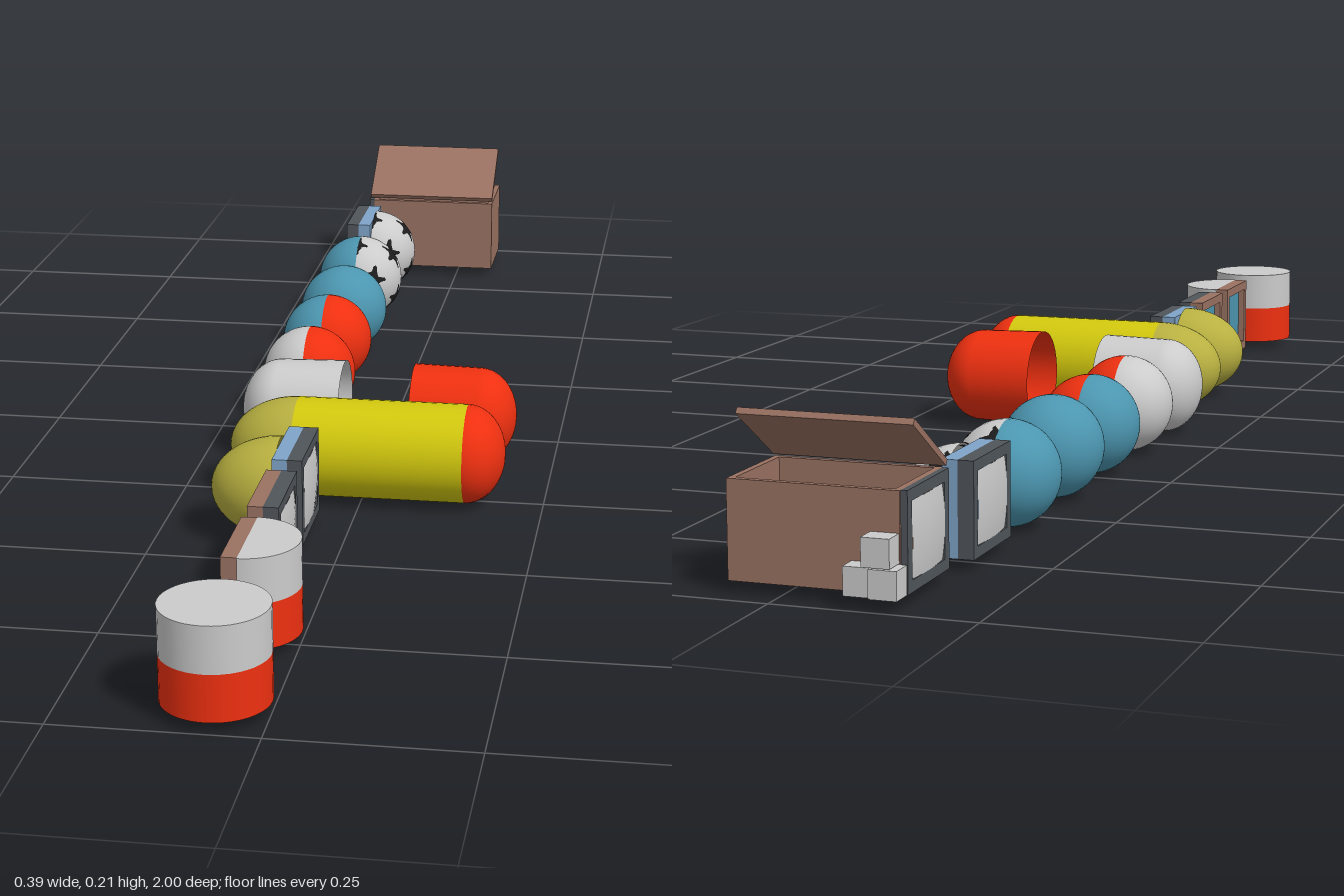
import * as THREE from 'three';

const mat = (c) => new THREE.MeshStandardMaterial({ color: c, side: THREE.DoubleSide });
const M = {
  grey: mat(0xcccccc), red: mat(0xee3010), yellow: mat(0xd2c80e), olive: mat(0xb8b040),
  teal: mat(0x4c96b0), blue: mat(0x7fa4c8), brown: mat(0x9a7262), dark: mat(0x50555a),
  black: mat(0x1c1c1c), white: mat(0xe4e4e4),
};
const R = 0.068, CY = 0.072;      // ball radius and centre height
const S = 0.128, H = 0.118, FY = 0.075; // frame width, height and centre height

export function createModel() {
  const root = new THREE.Group();

  const add = (name, geo, material, x, y, z, parent = root) => {
    const m = new THREE.Mesh(geo, material);
    m.name = name;
    m.position.set(x, y, z);
    parent.add(m);
    return m;
  };
  const box = (name, w, h, d, material, x, y, z, parent) =>
    add(name, new THREE.BoxGeometry(w, h, d), material, x, y, z, parent);

  // Half ellipsoid bulging along side * x, with its flat rim at x
  const dome = (name, material, x, z, side, length = R) => {
    const g = new THREE.SphereGeometry(R, 40, 16, 0, Math.PI * 2, 0, Math.PI / 2);
    g.scale(1, length / R, 1);
    g.rotateZ(-side * Math.PI / 2);
    return add(name, g, material, x, CY, z);
  };

  // Two-tone can, whole or halved
  const can = (z, start, sweep) => {
    const lower = new THREE.CylinderGeometry(0.066, 0.066, 0.059, 40, 1, false, start, sweep);
    const upper = lower.clone();
    add('canBase', lower, M.red, -0.065, 0.0455, z);
    add('canTop', upper, M.grey, -0.065, 0.1045, z);
  };

  // Square frame facing side * x, its back at x; the panel is recessed or bulging
  const frame = (name, material, panelMat, x, z, side, depth, bulge) => {
    const g = new THREE.Group();
    g.name = name;
    const b = 0.014, w = S / 2, h = H / 2;
    const rect = (P, a, c) => new P([[-a, -c], [a, -c], [a, c], [-a, c]].map((p) => new THREE.Vector2(...p)));
    const shape = rect(THREE.Shape, w, h);
    shape.holes.push(rect(THREE.Path, w - b, h - b));
    add(name + 'Border', new THREE.ExtrudeGeometry(shape, { depth, bevelEnabled: false }), material, 0, 0, 0, g);
    const panel = new THREE.PlaneGeometry(S - 2 * b, H - 2 * b, 10, 10);
    const p = panel.attributes.position;
    for (let i = 0; i < p.count; i++) {
      const u = p.getX(i) / (w - b), v = p.getY(i) / (h - b);
      p.setZ(i, bulge * (1 - 0.5 * (u * u + v * v)));
    }
    panel.computeVertexNormals();
    add(name + 'Panel', panel, panelMat, 0, 0, bulge > 0 ? depth - 0.003 : depth * 0.5, g);
    g.position.set(x, FY, z);
    g.rotation.y = side * Math.PI / 2;
    root.add(g);
  };
  const screen = (x, z, side, depth = 0.02) => frame('screen', M.dark, M.grey, x, z, side, depth, 0.007);
  const picture = (x, z) => frame('picture', M.brown, M.teal, x, z, -1, 0.02, 0);

  // Half football facing +x: white dome with curved pentagon patches
  const football = (x, z) => {
    dome('footballHalf', M.white, x, z, 1);
    const t = (1 + Math.sqrt(5)) / 2;
    const tilt = new THREE.Quaternion().setFromEuler(new THREE.Euler(0.35, 0.25, -0.42));
    for (const a of [-1, 1]) for (const c of [-t, t]) for (let k = 0; k < 3; k++) {
      const order = [[0, a, c], [a, c, 0], [c, 0, a]][k];
      const dir = new THREE.Vector3(...order).normalize().applyQuaternion(tilt);
      if (dir.x < -0.25) continue;
      const g = new THREE.RingGeometry(0.0005, 0.37, 5, 4);
      g.translate(0, 0, 0.95);
      const spin = new THREE.Quaternion().setFromUnitVectors(new THREE.Vector3(0, 0, 1), dir);
      g.applyQuaternion(spin);
      const p = g.attributes.position, v = new THREE.Vector3();
      for (let i = 0; i < p.count; i++) {
        v.fromBufferAttribute(p, i);
        v.x = Math.max(v.x, 0);
        v.setLength(R * 1.008);
        p.setXYZ(i, v.x, v.y, v.z);
      }
      g.computeVertexNormals();
      add('footballPatch', g, M.black, x, CY, z);
    }
  };

  // Whole can, then half can backed by a picture
  can(0.933, 0, Math.PI * 2);
  can(0.74, 0, Math.PI);
  picture(-0.065, 0.74);

  // Picture backed by a screen
  picture(-0.065, 0.577);
  screen(-0.065, 0.577, 1);

  // Nose cone backed by a screen
  dome('noseCone', M.olive, -0.085, 0.412, -1, 0.093);
  box('screenBack', 0.02, H, S, M.blue, -0.075, FY, 0.412);
  screen(-0.065, 0.412, 1);

  // Capsule: nose, barrel and end cap
  dome('capsuleNose', M.olive, -0.09, 0.253, -1, 0.094);
  const barrel = new THREE.CylinderGeometry(R, R, 0.234, 40, 1, true);
  barrel.rotateZ(Math.PI / 2);
  add('capsuleBarrel', barrel, M.yellow, 0.027, CY, 0.253);
  dome('capsuleCap', M.red, 0.143, 0.253, 1, 0.054);

  // Two open shells facing each other
  for (const [side, material] of [[-1, M.grey], [1, M.red]]) {
    dome('shellEnd', material, side * 0.143, 0.095, side, 0.054);
    const wall = new THREE.CylinderGeometry(R, R + 0.002, 0.093, 40, 1, true);
    wall.rotateZ(-side * Math.PI / 2);
    add('shellWall', wall, material, side * 0.0965, CY, 0.095);
  }

  // Balls with differing halves
  for (const [z, left, right] of [
    [-0.064, M.grey, M.red], [-0.227, M.teal, M.red], [-0.39, M.teal, M.teal],
  ]) {
    dome('ballHalf', left, -0.129, z, -1);
    dome('ballHalf', right, -0.129, z, 1);
  }
  dome('ballHalf', M.teal, -0.129, -0.567, -1);
  football(-0.129, -0.567);

  // Half football backed by a screen
  football(-0.128, -0.73);
  box('screenBack', 0.02, H, S, M.blue, -0.138, FY, -0.73);
  screen(-0.148, -0.73, -1);

  // Hollow chest with an open lid and a screen on its end
  const chest = new THREE.Group();
  chest.name = 'chest';
  root.add(chest);
  const W = 0.209, cx = -0.0415, cz = -0.902, D = 0.134, T = 0.008;
  box('chestFloor', W, T, D, M.brown, cx, 0.016 + T / 2, cz, chest);
  for (const s of [-1, 1]) {
    box('chestWall', W, H, T, M.brown, cx, FY, cz + s * (D - T) / 2, chest);
    box('chestEnd', T, H, D - 2 * T, M.brown, cx + s * (W - T) / 2, FY, cz, chest);
  }
  const lid = box('chestLid', 0.215, T, 0.12, M.brown, -0.0445, 0.173, -0.889, chest);
  lid.rotation.x = 0.58;
  screen(-0.146, cz, -1, 0.008);

  // Small blocks stacked behind the chest
  for (const [x, y, d] of [[-0.137, 0.034, 0.031], [-0.105, 0.034, 0.026], [-0.128, 0.069, 0.029]])
    box('toyBlock', 0.034, 0.034, d, M.grey, x, y, -0.969 - d / 2);

  return root;
}
